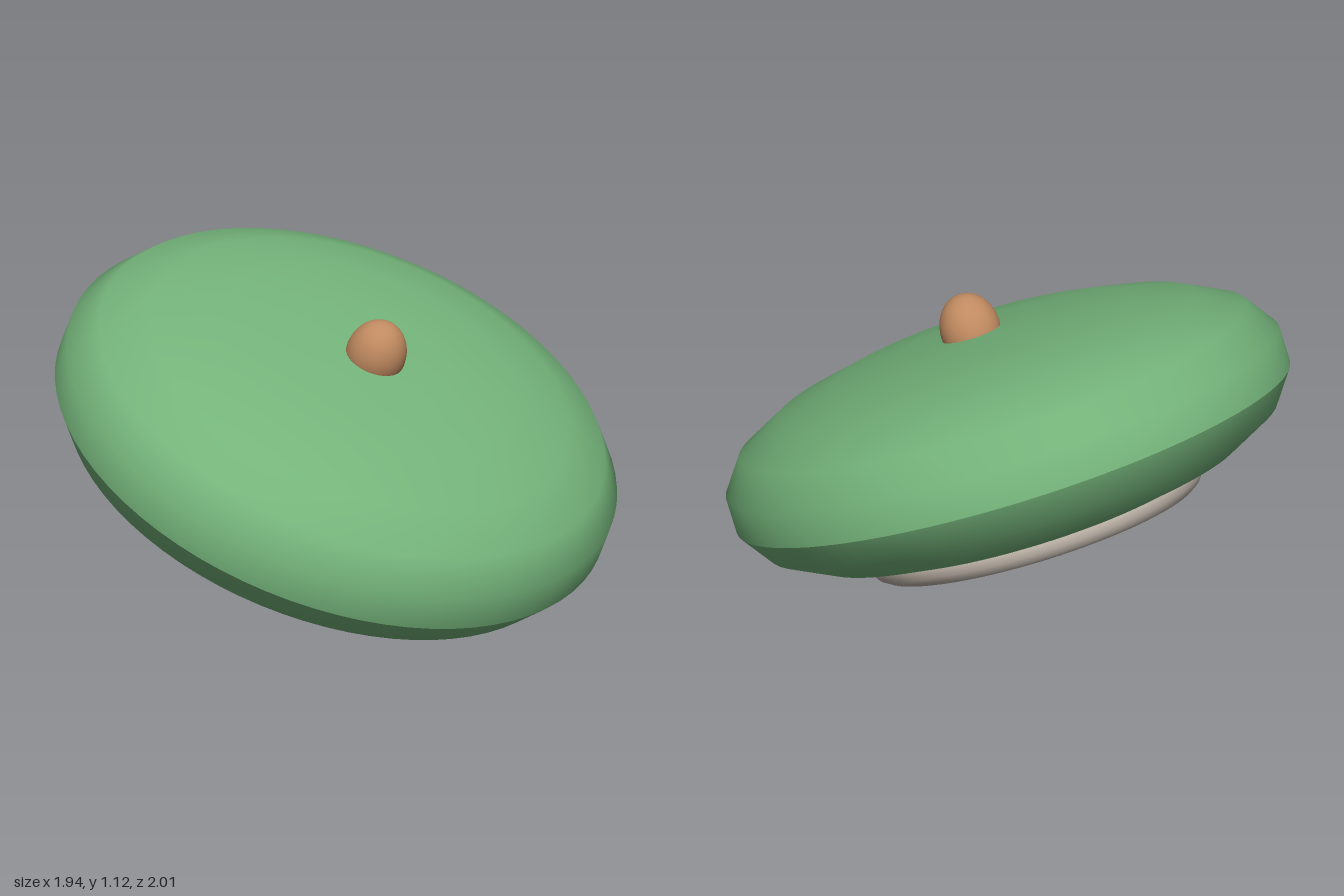
import * as THREE from 'three';

const material = (name, color) => {
  const m = new THREE.MeshStandardMaterial({ color });
  m.name = name;
  return m;
};

export function createModel() {
  const green = material('green felt', 0x74b37a);
  const brown = material('brown knob', 0xc08a60);
  const grey = material('warm grey band', 0xbcb2a7);

  const root = new THREE.Group();
  root.name = 'beret';

  // Everything is modelled upright, then tilted to one side and forward
  const hat = new THREE.Group();
  hat.name = 'tiltedHat';
  const axis = new THREE.Vector3(0.352, 0.918, 0.182).normalize();
  hat.quaternion.setFromUnitVectors(new THREE.Vector3(0, 1, 0), axis);
  hat.position.y = 0.565;
  root.add(hat);

  const add = (name, geometry, mat) => {
    const mesh = new THREE.Mesh(geometry, mat);
    mesh.name = name;
    hat.add(mesh);
    return mesh;
  };
  // Profiles run from bottom to top so the faces point outwards
  const lathe = (points) =>
    new THREE.LatheGeometry(points.map(([r, y]) => new THREE.Vector2(r, y)), 72);

  // Puffed crown, meeting the underside at a crease just below the widest ring
  add('crown', lathe([
    [1.01, -0.065], [1.01, 0.065], [0.928, 0.18], [0.767, 0.266],
    [0.55, 0.325], [0.29, 0.357], [0, 0.365],
  ]), green);
  add('underside', lathe([
    [0, -0.33], [0.3, -0.33], [0.55, -0.32], [0.767, -0.266],
    [0.928, -0.18], [1.01, -0.065],
  ]), green);

  // Head band
  const band = add('headBand', new THREE.TorusGeometry(0.545, 0.065, 16, 72), grey);
  band.rotation.x = Math.PI / 2;
  band.position.y = -0.312;

  // Egg-shaped knob on the crown
  const knob = add('knob', new THREE.SphereGeometry(0.106, 32, 20), brown);
  knob.scale.y = 1.22;
  knob.position.set(0.157, 0.9 - 0.565, 0.079)
    .applyQuaternion(hat.quaternion.clone().invert());

  return root;
}
